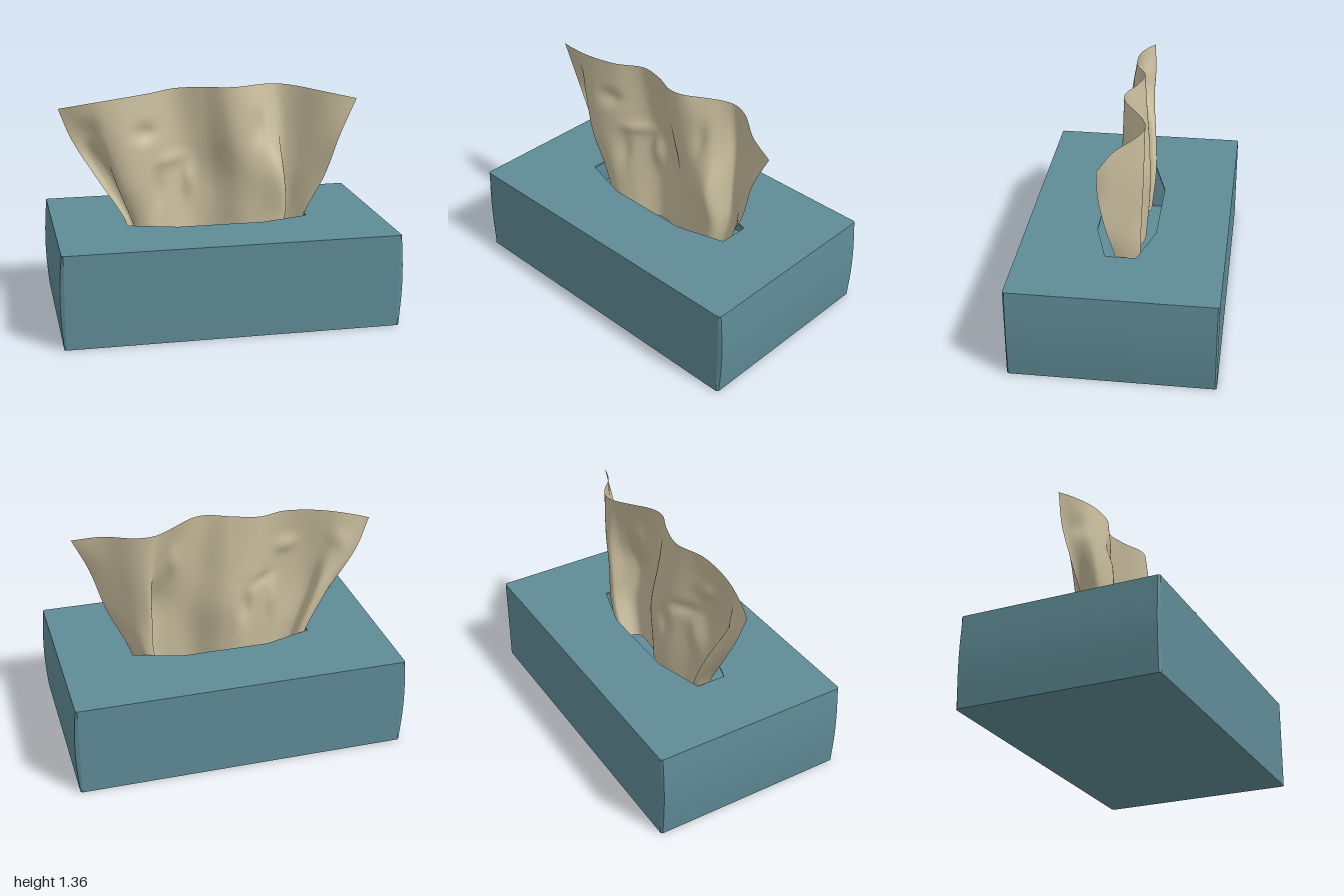
import * as THREE from 'three';

const H = 0.555; // box height
const WALL = 0.01;
const teal = new THREE.MeshStandardMaterial({ color: 0x5f8b96 });
const cream = new THREE.MeshStandardMaterial({ color: 0xc8bc9c, side: THREE.DoubleSide });

const points = (list) => list.map(([x, y]) => new THREE.Vector2(x, y));

// Rectangle with chamfered corners
function outline(w, d, c) {
  return points([[-w + c, -d], [w - c, -d], [w, -d + c], [w, d - c],
    [w - c, d], [-w + c, d], [-w, d - c], [-w, -d + c]]);
}

// Horizontal slice of the carton between two heights; its end panels bulge at mid height
function slice(name, hole, y0, y1, steps) {
  const shape = new THREE.Shape(outline(0.985, 0.6, 0.01));
  if (hole) shape.holes.push(new THREE.Path(hole));
  const geo = new THREE.ExtrudeGeometry(shape, { depth: y1 - y0, steps, bevelEnabled: false });
  geo.rotateX(-Math.PI / 2).translate(0, y0, 0);
  const p = geo.attributes.position;
  for (let i = 0; i < p.count; i++) {
    const x = p.getX(i);
    if (Math.abs(x) > 0.98) p.setX(i, x + Math.sign(x) * 0.015 * Math.sin(Math.PI * p.getY(i) / H));
  }
  geo.computeVertexNormals();
  const mesh = new THREE.Mesh(geo, teal);
  mesh.name = name;
  return mesh;
}

function createBox() {
  const box = new THREE.Group();
  box.name = 'box';
  const slot = points([[-0.55, -0.09], [-0.26, -0.175], [0.26, -0.175], [0.55, -0.09],
    [0.55, 0.09], [0.26, 0.175], [-0.26, 0.175], [-0.55, 0.09]]);
  box.add(
    slice('boxBottom', null, 0, WALL, 1),
    slice('boxWalls', outline(0.97, 0.59, 0.01), WALL, H - WALL, 12),
    slice('boxTop', slot, H - WALL, H, 1),
  );
  return box;
}

// Cross-sections of the tissue from its right edge to its left edge, as [x, z]
const slotRow = [[-0.55, -0.01], [-0.53, -0.09], [-0.49, -0.07], [-0.51, 0.03], [-0.42, 0.06], [-0.3, 0.01],
  [-0.15, -0.09], [0, -0.07], [0.15, 0.03], [0.28, 0.055], [0.4, 0.055], [0.44, 0],
  [0.42, -0.09], [0.47, -0.1], [0.52, -0.04], [0.555, 0.03]];
const lowRow = [[-0.7, -0.03], [-0.66, -0.07], [-0.6, -0.06], [-0.6, 0.05], [-0.5, 0.085], [-0.36, 0.04],
  [-0.18, -0.09], [-0.02, -0.09], [0.14, 0.02], [0.27, 0.065], [0.39, 0.08], [0.43, 0],
  [0.43, -0.105], [0.5, -0.09], [0.58, -0.02], [0.67, 0.065]];
const highRow = [[-0.85, -0.05], [-0.78, -0.045], [-0.72, -0.01], [-0.65, 0.05], [-0.54, 0.075], [-0.38, 0.04],
  [-0.21, -0.07], [-0.05, -0.06], [0.1, 0.03], [0.23, 0.03], [0.34, 0], [0.4, -0.06],
  [0.44, -0.12], [0.52, -0.095], [0.63, 0], [0.75, 0.095]];
const topRow = [[-0.93, -0.04], [-0.86, -0.015], [-0.78, 0.005], [-0.68, 0.025], [-0.55, 0.032], [-0.4, 0.015],
  [-0.24, -0.05], [-0.08, -0.02], [0.05, 0.032], [0.15, 0.02], [0.26, -0.05], [0.35, -0.105],
  [0.43, -0.125], [0.53, -0.09], [0.68, 0.02], [0.85, 0.087]];

// Soft crumples: x, y, width, height, depth
const dents = [[-0.35, 0.76, 0.04, 0.12, -0.03], [-0.43, 1.1, 0.07, 0.05, -0.025], [-0.15, 0.78, 0.04, 0.1, 0.03],
  [-0.27, 0.92, 0.08, 0.04, 0.02], [0.27, 1.1, 0.04, 0.09, -0.02], [-0.75, 1.12, 0.05, 0.06, -0.015]];

function createTissue() {
  const topEdge = (x) => 1.355 - (x < 0.05 ? 0.109 : 0.133) * (x - 0.05) ** 2;
  const smooth = (pts) => new THREE.CatmullRomCurve3(pts, false, 'catmullrom', 0.5);
  const rowCurve = (row, height) => smooth(row.map(([x, z]) => new THREE.Vector3(x, height(x), z)));
  const rows = [
    rowCurve(slotRow.map(([x, z]) => [x * 0.85, z * 0.8]), () => 0.3),
    rowCurve(slotRow, () => H),
    rowCurve(lowRow, () => 0.8),
    rowCurve(highRow, () => 1.05),
    rowCurve(topRow, topEdge),
  ];
  const nu = 150, nv = 48;
  const geo = new THREE.PlaneGeometry(1, 1, nu, nv);
  const p = geo.attributes.position;
  for (let i = 0; i <= nu; i++) {
    const column = smooth(rows.map((r) => r.getPoint(i / nu)));
    for (let j = 0; j <= nv; j++) {
      const q = column.getPoint(1 - j / nv);
      for (const [x, y, w, h, d] of dents) {
        q.z += d * Math.exp(-(((q.x - x) / w) ** 2) - ((q.y - y) / h) ** 2);
      }
      p.setXYZ(j * (nu + 1) + i, q.x, q.y, q.z);
    }
  }
  geo.computeVertexNormals();
  const mesh = new THREE.Mesh(geo, cream);
  mesh.name = 'tissue';
  return mesh;
}

export function createModel() {
  const model = new THREE.Group();
  model.name = 'tissueBox';
  model.add(createBox(), createTissue());
  return model;
}
